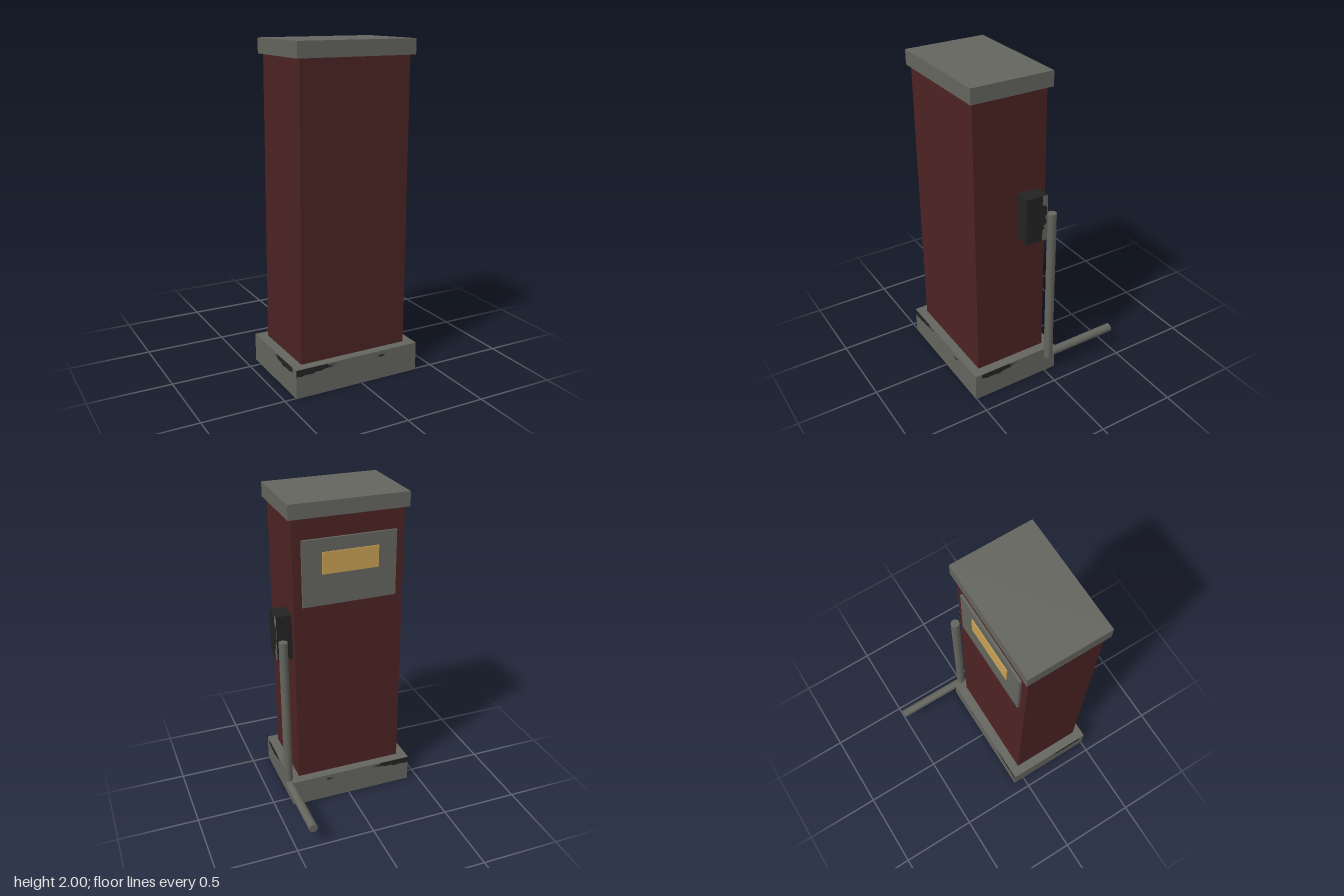
import * as THREE from 'three';

export function createModel() {
  const root = new THREE.Group();
  root.name = 'fuelPump';

  const material = (name, color, extra = {}) => {
    const m = new THREE.MeshStandardMaterial({ color, ...extra });
    m.name = name;
    return m;
  };
  const red = material('dark red paint', 0x4d2323);
  const grey = material('weathered grey', 0x65655f);
  const black = material('black', 0x232323);
  const amber = material('amber display', 0xc9a055);

  const add = (name, geometry, mat, parent = root) => {
    const mesh = new THREE.Mesh(geometry, mat);
    mesh.name = name;
    parent.add(mesh);
    return mesh;
  };
  // Box given by its limits on each axis
  const box = (name, mat, [x0, x1], [y0, y1], [z0, z1]) => {
    const mesh = add(name, new THREE.BoxGeometry(x1 - x0, y1 - y0, z1 - z0), mat);
    mesh.position.set((x0 + x1) / 2, (y0 + y1) / 2, (z0 + z1) / 2);
    return mesh;
  };

  // Cabinet
  box('base', grey, [-0.43, 0.385], [0, 0.175], [-0.075, 0.505]);
  box('body', red, [-0.37, 0.325], [0.175, 1.91], [-0.015, 0.45]);
  box('cap', grey, [-0.392, 0.35], [1.91, 2], [-0.04, 0.47]);

  // Price panel on the back
  box('panel', grey, [-0.318, 0.272], [1.37, 1.78], [-0.03, -0.015]);
  box('display', amber, [-0.203, 0.15], [1.565, 1.7], [-0.036, -0.03]);

  // Nozzle holster on the side
  box('holster', black, [0.325, 0.42], [1.02, 1.31], [0.03, 0.17]);

  // Hose: upright pipe and the length running backwards
  const upright = add('uprightHose', new THREE.CylinderGeometry(0.028, 0.028, 1.045, 12), grey);
  upright.position.set(0.397, 0.6425, -0.018);
  const trailing = add('trailingHose', new THREE.CylinderGeometry(0.028, 0.028, 0.465, 12), grey);
  trailing.rotation.x = Math.PI / 2;
  trailing.position.set(0.397, 0.145, -0.2725);

  // Flat jagged patch; u runs along the face, y is height
  const patch = (points) =>
    new THREE.ShapeGeometry(new THREE.Shape(points.map(([u, y]) => new THREE.Vector2(u, y))));

  // Grime along the top of the base, u from 0 to 1 across a face
  const grime = [
    [[0, 0.174], [0.25, 0.174], [0.25, 0.165], [0.34, 0.162], [0.25, 0.157], [0.31, 0.15],
      [0.22, 0.148], [0.2, 0.14], [0.16, 0.143], [0.12, 0.133], [0.07, 0.137], [0.04, 0.13], [0, 0.136]],
    [[0.67, 0.15], [0.72, 0.152], [0.72, 0.145], [0.7, 0.138], [0.67, 0.143]],
  ];
  const sideGrime = [
    [[0.07, 0.17], [0.1, 0.174], [0.42, 0.174], [0.42, 0.164], [0.52, 0.16], [0.42, 0.154],
      [0.44, 0.146], [0.34, 0.143], [0.29, 0.132], [0.23, 0.139], [0.15, 0.137], [0.08, 0.146]],
  ];
  const grimeBlack = material('grime black', 0x232323, { side: THREE.DoubleSide });
  for (const z of [0.507, -0.077]) {
    for (const outline of grime) {
      const p = add('grimePatch', patch(outline.map(([u, y]) => [-0.43 + u * 0.815, y])), grimeBlack);
      p.position.z = z;
    }
  }
  for (const x of [0.387, -0.432]) {
    for (const outline of sideGrime) {
      const p = add('sideGrimePatch', patch(outline.map(([u, y]) => [u * 0.58 - 0.505, y])), grimeBlack);
      p.rotation.y = Math.PI / 2;
      p.position.x = x;
    }
  }

  // Worn strip on the outer face of the holster
  const worn = add('wornStrip', patch([
    [-0.03, 1.02], [-0.066, 1.02], [-0.064, 1.09], [-0.046, 1.1], [-0.06, 1.115], [-0.038, 1.13],
    [-0.036, 1.15], [-0.048, 1.17], [-0.036, 1.19], [-0.034, 1.23], [-0.046, 1.245],
    [-0.066, 1.25], [-0.066, 1.31], [-0.03, 1.31],
  ]), material('worn grey', 0x65655f, { side: THREE.DoubleSide }));
  worn.rotation.y = Math.PI / 2;
  worn.position.x = 0.422;

  return root;
}
